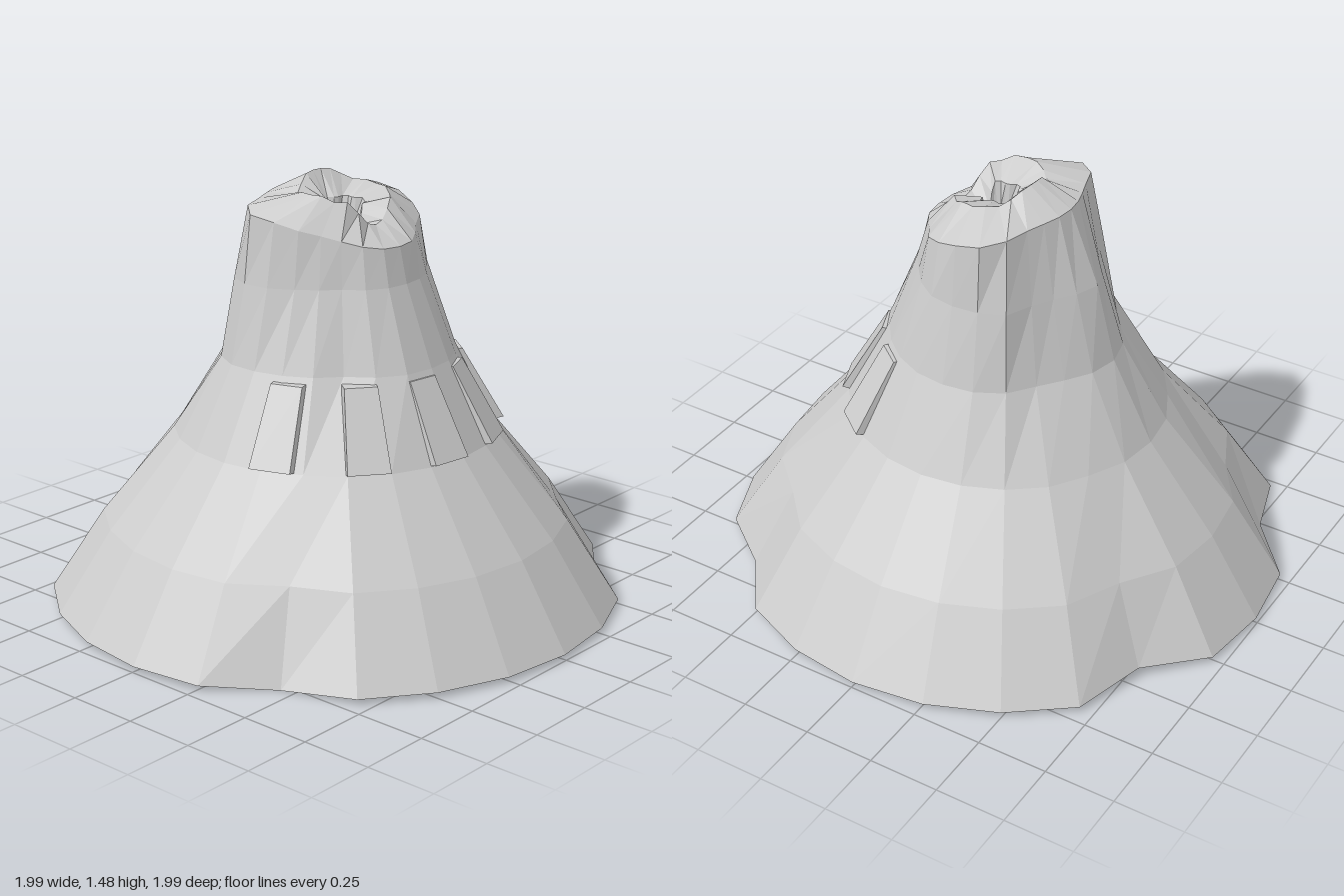
import * as THREE from 'three';

const N = 24; // sides of every ring; index 0 faces the front, 6 faces +x
const material = new THREE.MeshStandardMaterial({ color: 0xcccccc, flatShading: true });

// A ring of points from a radius rule and a height rule, optionally shifted in z
function ring(radius, height, zShift = 0) {
  return Array.from({ length: N }, (_, i) => {
    const a = (i / N) * Math.PI * 2;
    const r = radius(i, a);
    const z = r * Math.cos(a) + zShift;
    return [r * Math.sin(a), height(i, z), z];
  });
}

// Skin a list of rings, each joined to the next
function skin(name, rings) {
  const index = [];
  for (let j = 0; j < rings.length - 1; j++) {
    for (let i = 0; i < N; i++) {
      const k = (i + 1) % N;
      const a = j * N + i, b = j * N + k, c = b + N, d = a + N;
      index.push(a, b, c, a, c, d);
    }
  }
  const geometry = new THREE.BufferGeometry();
  geometry.setAttribute('position', new THREE.Float32BufferAttribute(rings.flat(2), 3));
  geometry.setIndex(index);
  geometry.computeVertexNormals();
  const mesh = new THREE.Mesh(geometry, material);
  mesh.name = name;
  return mesh;
}

// Slab lying on the slope, wider and further out at its lower edge
function slab(degrees) {
  const geometry = new THREE.BoxGeometry(1, 1, 1);
  const p = geometry.attributes.position;
  for (let i = 0; i < p.count; i++) {
    const low = p.getY(i) < 0;
    const outer = p.getZ(i) > 0;
    p.setXYZ(i,
      p.getX(i) * (low ? 0.146 : 0.112),
      low ? (outer ? 0.61 : 0.6) : 0.86,
      (low ? 0.578 : 0.432) - (outer ? 0 : 0.05));
  }
  geometry.computeVertexNormals();
  const mesh = new THREE.Mesh(geometry, material);
  mesh.name = 'slopeSlab';
  mesh.rotation.y = THREE.MathUtils.degToRad(degrees);
  return mesh;
}

export function createModel() {
  const group = new THREE.Group();
  group.name = 'volcano';

  // Notches in the foot of the mountain
  const notch = { 3: 0.93, 10: 0.91, 14: 0.91, 20: 0.91 };
  const footY = { 10: 0.035, 14: 0.035, 20: 0 };
  const notched = (i, amount) => 1 - (1 - (notch[i] ?? 1)) * amount;

  // Radii of the uneven upper rings, front round through +x
  const shoulder = [0.42, 0.42, 0.41, 0.41, 0.415, 0.42, 0.42, 0.42, 0.41, 0.38, 0.38, 0.4,
    0.41, 0.4, 0.38, 0.38, 0.41, 0.42, 0.41, 0.4, 0.39, 0.37, 0.4, 0.42];
  const neck = [0.31, 0.31, 0.31, 0.31, 0.33, 0.35, 0.355, 0.36, 0.36, 0.31, 0.3, 0.32,
    0.34, 0.32, 0.3, 0.31, 0.36, 0.365, 0.345, 0.31, 0.29, 0.28, 0.3, 0.31];
  const rim = [0.28, 0.28, 0.27, 0.27, 0.3, 0.315, 0.33, 0.335, 0.3, 0.25, 0.235, 0.235,
    0.235, 0.235, 0.24, 0.26, 0.31, 0.34, 0.31, 0.28, 0.255, 0.255, 0.27, 0.28];
  const lipY = [1.33, 1.34, 1.37, 1.4, 1.4, 1.42, 1.42, 1.43, 1.43, 1.45, 1.47, 1.475,
    1.475, 1.47, 1.44, 1.42, 1.43, 1.44, 1.44, 1.44, 1.42, 1.42, 1.38, 1.34];

  const foot = ring((i) => 0.995 * notched(i, 1), (i) => footY[i] ?? 0.018);
  const rimRing = ring((i) => rim[i], (i, z) => 1.365 - (z > 0 ? 0.33 : 0.18) * z);

  // Underside
  group.add(skin('underside', [ring(() => 0, () => 0.018), foot]));

  // Mountain side
  group.add(skin('mountainSide', [
    foot,
    ring((i) => 0.81 * notched(i, 0.6), () => 0.3),
    ring((i) => 0.56 * notched(i, 0.2), () => 0.6),
    ring((i) => shoulder[i], () => 0.88),
    ring((i) => neck[i], () => 1.15),
    rimRing,
  ]));

  // Summit rising to a jagged lip, then dropping into the vent
  const lip = ring((i, a) => 0.14 + 0.03 * Math.sin(a) ** 2, (i) => lipY[i], 0.035);
  group.add(skin('crater', [
    rimRing,
    lip,
    ring((i) => (i % 4 < 2 ? 0.075 : 0.06), (i) => Math.min(lipY[i] - 0.02, 1.39), 0.035),
    ring(() => 0.05, () => 1.31, 0.035),
    ring(() => 0, () => 1.3, 0.035),
  ]));

  // Slabs across the front slope
  for (const degrees of [-71, -38, -7.5, 22.5, 51.5]) group.add(slab(degrees));

  return group;
}
